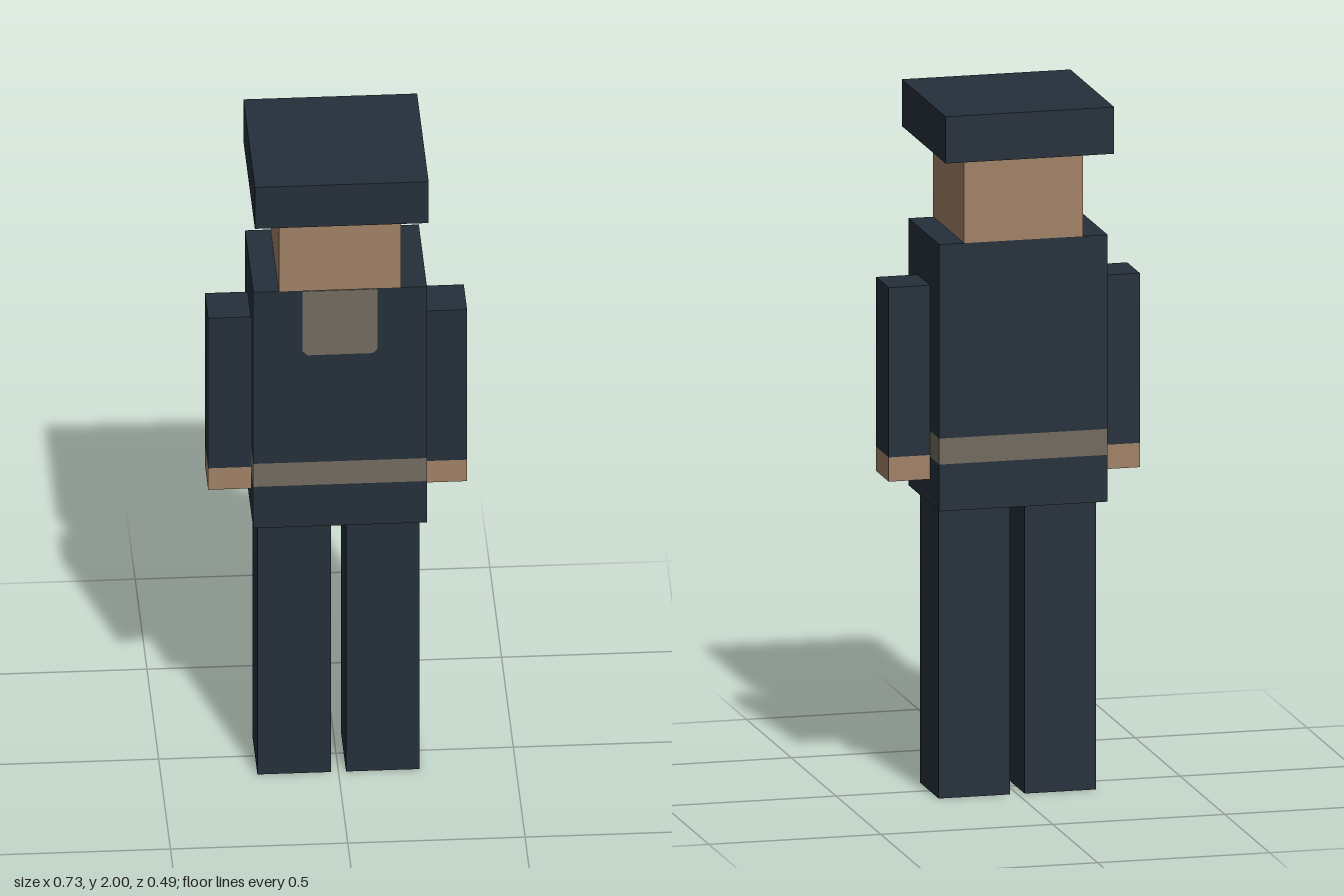
import * as THREE from 'three';

const mat = (name, color) => {
  const m = new THREE.MeshStandardMaterial({ color });
  m.name = name;
  return m;
};

export function createModel() {
  const group = new THREE.Group();
  group.name = 'blockFigure';
  const uniform = mat('dark blue uniform', 0x25303a);
  const skin = mat('tan skin', 0xa18166);
  const trim = mat('grey brown trim', 0x726a5e);

  // Box given by its centre x, bottom and top y, width and depth
  function box(name, material, x, y0, y1, w, d, parent = group) {
    const mesh = new THREE.Mesh(new THREE.BoxGeometry(w, y1 - y0, d), material);
    mesh.name = name;
    mesh.position.set(x, (y0 + y1) / 2, 0);
    parent.add(mesh);
    return mesh;
  }

  // Head and flat cap
  box('cap', uniform, 0, 1.865, 2, 0.49, 0.49);
  box('head', skin, 0, 1.615, 1.865, 0.345, 0.345);

  // Torso stacked around the flush belt
  box('jacketSkirt', uniform, 0, 0.845, 0.98, 0.49, 0.345);
  box('belt', trim, 0, 0.98, 1.055, 0.49, 0.345);
  box('jacket', uniform, 0, 1.055, 1.615, 0.49, 0.345);

  // Bib on the chest with clipped lower corners
  const w = 0.106, c = 0.014, top = 1.614, low = 1.405;
  const shape = new THREE.Shape([
    [-w, top], [-w, low + c], [-w + c, low], [w - c, low], [w, low + c], [w, top],
  ].map(([x, y]) => new THREE.Vector2(x, y)));
  const bib = new THREE.Mesh(
    new THREE.ExtrudeGeometry(shape, { depth: 0.003, bevelEnabled: false }), trim);
  bib.name = 'bib';
  bib.position.z = 0.172;
  group.add(bib);

  // Arms, hands and legs, mirrored
  for (const [side, s] of [['left', 1], ['right', -1]]) {
    const arm = new THREE.Group();
    arm.name = side + 'Arm';
    box(side + 'Sleeve', uniform, s * 0.305, 0.985, 1.475, 0.12, 0.14, arm);
    box(side + 'Hand', skin, s * 0.305, 0.915, 0.985, 0.12, 0.14, arm);
    group.add(arm);
    box(side + 'Leg', uniform, s * 0.125, 0, 0.845, 0.207, 0.207);
  }
  return group;
}
